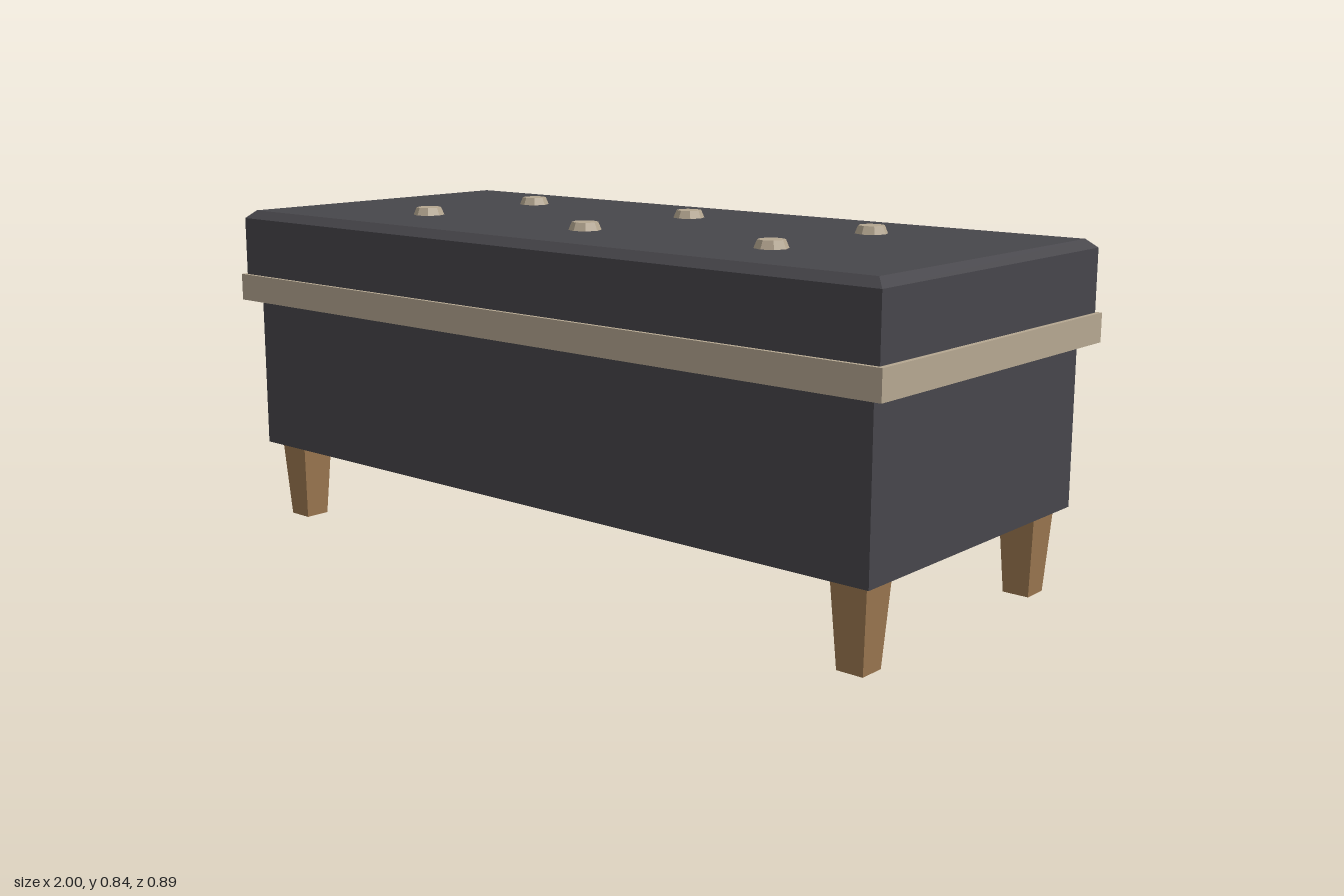
import * as THREE from 'three';

const mat = (name, color) => {
  const m = new THREE.MeshStandardMaterial({ color });
  m.name = name;
  return m;
};

export function createModel() {
  const fabric = mat('charcoal fabric', 0x47464b);
  const trimColor = mat('beige trim', 0xb5a791);
  const wood = mat('wood', 0x9b7750);

  const group = new THREE.Group();
  group.name = 'storageBench';

  const add = (name, geometry, material, x, y, z) => {
    const mesh = new THREE.Mesh(geometry, material);
    mesh.name = name;
    mesh.position.set(x, y, z);
    group.add(mesh);
  };

  // Box spanning y0..y1 whose top and bottom faces can differ in size
  const taperedBox = (w, d, y0, y1, inset = 0, insetBottom = 0) => {
    const g = new THREE.BoxGeometry(w, y1 - y0, d);
    const p = g.attributes.position;
    for (let i = 0; i < p.count; i++) {
      const s = p.getY(i) > 0 ? inset : insetBottom;
      p.setX(i, p.getX(i) - Math.sign(p.getX(i)) * s);
      p.setZ(i, p.getZ(i) - Math.sign(p.getZ(i)) * s);
    }
    g.translate(0, (y0 + y1) / 2, 0);
    g.computeVertexNormals();
    return g;
  };

  // Upholstered base, trim band and cushioned lid with a bevelled rim
  add('base', taperedBox(1.92, 0.82, 0.2, 0.585), fabric, 0, 0, 0);
  add('trimBand', taperedBox(2, 0.89, 0.585, 0.653), trimColor, 0, 0, 0);
  add('lid', taperedBox(1.976, 0.87, 0.653, 0.8), fabric, 0, 0, 0);
  add('lidBevel', taperedBox(1.976, 0.87, 0.8, 0.82, 0.022), fabric, 0, 0, 0);

  // Four tapered square legs
  const leg = taperedBox(0.09, 0.09, 0, 0.2, 0, 0.0125);
  for (const x of [-0.892, 0.892])
    for (const z of [-0.336, 0.336]) add('leg', leg, wood, x, 0, z);

  // Two rows of tufting buttons
  const button = new THREE.CylinderGeometry(0.031, 0.039, 0.019, 8).toNonIndexed();
  button.computeVertexNormals();
  for (const x of [-0.545, 0, 0.545])
    for (const z of [-0.19, 0.19]) add('tuftButton', button, trimColor, x, 0.8295, z);

  return group;
}
